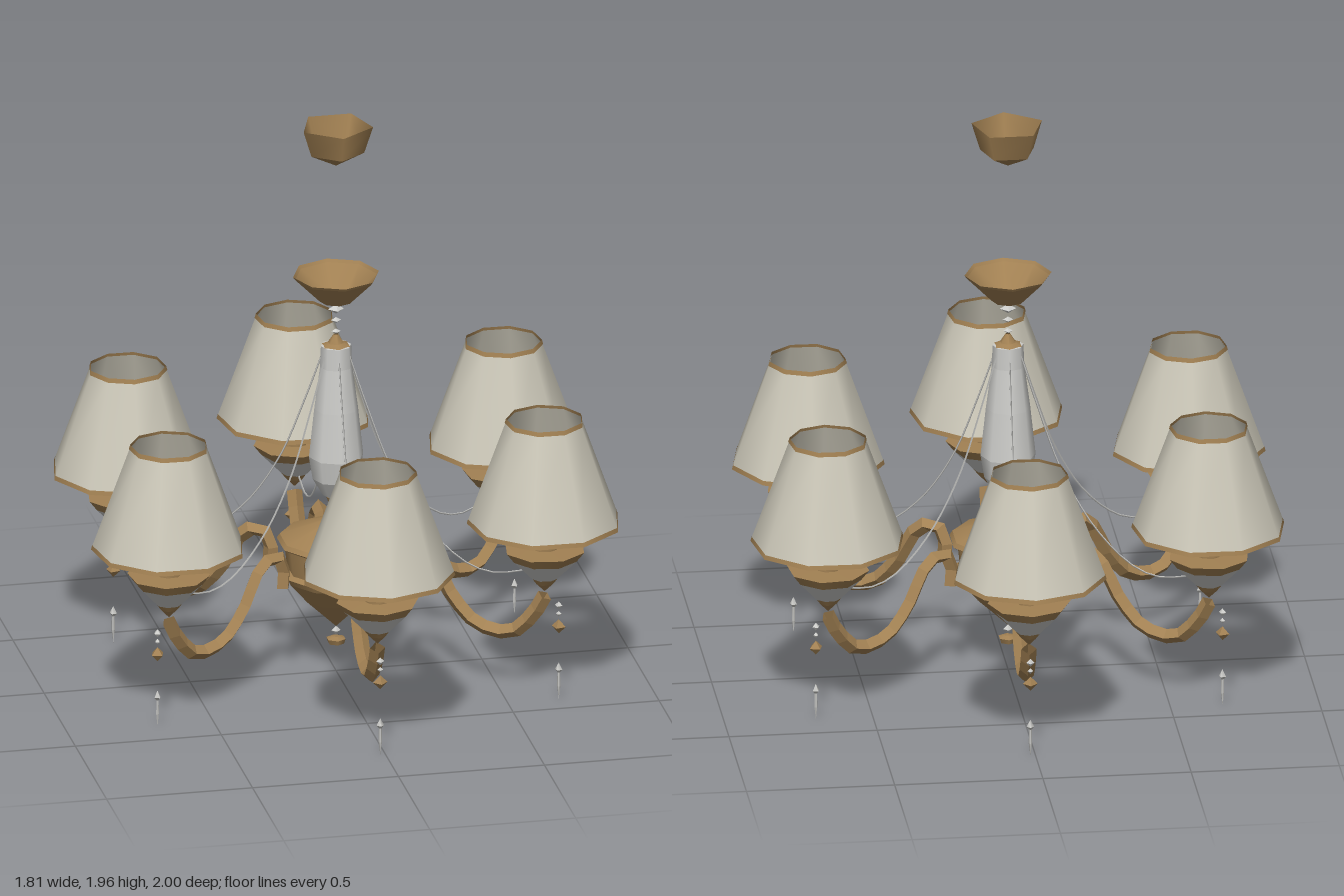
import * as THREE from 'three';
import { mergeGeometries } from 'three/addons/utils/BufferGeometryUtils.js';

const makeMaterial = (name, color) => {
  const m = new THREE.MeshStandardMaterial({ color, side: THREE.DoubleSide });
  m.name = name;
  return m;
};

export function createModel() {
  const brass = makeMaterial('antique brass', 0xa28153);
  const fabric = makeMaterial('cream fabric', 0xcbc7b8);
  const glass = makeMaterial('clear glass', 0xcdcdca);

  const model = new THREE.Group();
  model.name = 'chandelier';

  const add = (parent, name, geometry, material, x = 0, y = 0, z = 0) => {
    const mesh = new THREE.Mesh(geometry, material);
    mesh.name = name;
    mesh.position.set(x, y, z);
    parent.add(mesh);
    return mesh;
  };

  // Stack of open frustums through [y, radius] pairs, top to bottom, with crisp edges between bands
  const turned = (sides, profile) => mergeGeometries(profile.slice(1).map(([y1, r1], i) => {
    const [y0, r0] = profile[i];
    const band = new THREE.CylinderGeometry(r0, r1, Math.max(y0 - y1, 0.0005), sides, 1, true);
    return band.translate(0, (y0 + y1) / 2, 0);
  }));

  // Centre column, from the ceiling down
  const column = new THREE.Group();
  column.name = 'column';
  model.add(column);
  add(column, 'ceilingCanopy', turned(5, [[1.963, 0.125], [1.87, 0.095], [1.82, 0]]), brass);
  add(column, 'upperCup', turned(8, [[1.43, 0.147], [1.42, 0.14], [1.335, 0.055], [1.325, 0]]), brass);
  for (const [y, r] of [[1.305, 0.028], [1.265, 0.018], [1.225, 0.016]]) {
    add(column, 'stemBead', new THREE.OctahedronGeometry(r).scale(1, 0.6, 1), glass, 0, y, 0);
  }
  add(column, 'stemCollar', turned(6, [[1.215, 0.008], [1.185, 0.028], [1.175, 0.05]]), brass);
  add(column, 'glassColumn', turned(8, [
    [1.18, 0], [1.175, 0.052], [1.1, 0.055], [0.95, 0.075], [0.78, 0.093], [0.7, 0.08], [0.64, 0.045], [0.635, 0],
  ]), glass);
  add(column, 'lowerCollar', turned(6, [[0.635, 0.038], [0.585, 0.018]]), brass);
  add(column, 'lowerBead', new THREE.OctahedronGeometry(0.025).scale(1, 0.6, 1), glass, 0, 0.585, 0);

  // Central body with two ridges and a pointed base
  add(column, 'body', turned(10, [
    [0.56, 0], [0.555, 0.03], [0.49, 0.19], [0.475, 0.2], [0.46, 0.175], [0.375, 0.165],
    [0.365, 0.185], [0.345, 0.175], [0.27, 0.11], [0.165, 0],
  ]), brass);
  add(column, 'finialBead', new THREE.OctahedronGeometry(0.016), glass, 0, 0.15, 0);
  add(column, 'finial', turned(6, [[0.13, 0.012], [0.122, 0.034], [0.105, 0.028], [0.098, 0]]), brass);

  // Shared geometries of the six branches, each built reaching along +z
  const curve = (points) => new THREE.CatmullRomCurve3(points.map(([r, y]) => new THREE.Vector3(0, y, r)));
  const armCurve = curve([
    [0.235, 0.365], [0.235, 0.45], [0.275, 0.485], [0.34, 0.45], [0.41, 0.33],
    [0.5, 0.24], [0.62, 0.225], [0.7, 0.3], [0.74, 0.37],
  ]);
  const armGeo = new THREE.TubeGeometry(armCurve, 14, 0.026, 4).toNonIndexed();
  armGeo.computeVertexNormals();
  const garlandCurve = curve([[0.045, 1.15], [0.11, 0.97], [0.2, 0.75], [0.32, 0.57], [0.46, 0.455], [0.56, 0.43], [0.66, 0.45]]);
  const garlandGeo = new THREE.TubeGeometry(garlandCurve, 20, 0.0035, 3);

  const shadeGeo = turned(9, [[0.995, 0.13], [0.642, 0.257]]);
  const shadeTrimGeo = mergeGeometries([
    turned(9, [[1.005, 0.13], [0.99, 0.134]]),
    turned(9, [[0.645, 0.257], [0.63, 0.261]]),
  ]);
  const cupRimGeo = turned(8, [[0.542, 0], [0.54, 0.14], [0.505, 0.113]]);
  const cupGlassGeo = turned(8, [[0.505, 0.113], [0.435, 0.045]]);
  const cupTipGeo = turned(8, [[0.435, 0.045], [0.415, 0.03], [0.385, 0]]);
  const candleGeo = turned(8, [[0.76, 0], [0.758, 0.045], [0.54, 0.045]]);
  const bulbGeo = turned(5, [[0.86, 0], [0.8, 0.035], [0.758, 0.022]]);

  const reach = 0.74;
  for (let i = 0; i < 6; i++) {
    const branch = new THREE.Group();
    branch.name = 'branch';
    branch.rotation.y = i * Math.PI / 3 - 0.022;
    model.add(branch);
    add(branch, 'arm', armGeo, brass);
    add(branch, 'garland', garlandGeo, glass);

    // Candle lamp
    const lamp = new THREE.Group();
    lamp.name = 'lamp';
    lamp.position.z = reach;
    branch.add(lamp);
    add(lamp, 'shade', shadeGeo, fabric);
    add(lamp, 'shadeTrim', shadeTrimGeo, brass);
    add(lamp, 'cupRim', cupRimGeo, brass);
    add(lamp, 'cupGlass', cupGlassGeo, glass);
    add(lamp, 'cupTip', cupTipGeo, brass);
    add(lamp, 'candle', candleGeo, brass);
    add(lamp, 'bulb', bulbGeo, glass);

    // Hanging drops below the cup
    const drops = new THREE.Group();
    drops.name = 'drops';
    drops.position.z = reach + 0.05;
    branch.add(drops);
    add(drops, 'dropBead', new THREE.OctahedronGeometry(0.014), glass, 0, 0.34, 0);
    add(drops, 'dropBead', new THREE.OctahedronGeometry(0.01), glass, 0, 0.31, 0);
    add(drops, 'dropWeight', new THREE.OctahedronGeometry(0.025), brass, 0, 0.265, 0);
    add(drops, 'dropSpike', turned(4, [[0.135, 0], [0.11, 0.013], [0.1, 0.005], [0.05, 0.006], [0.005, 0]]), glass);
  }
  return model;
}
